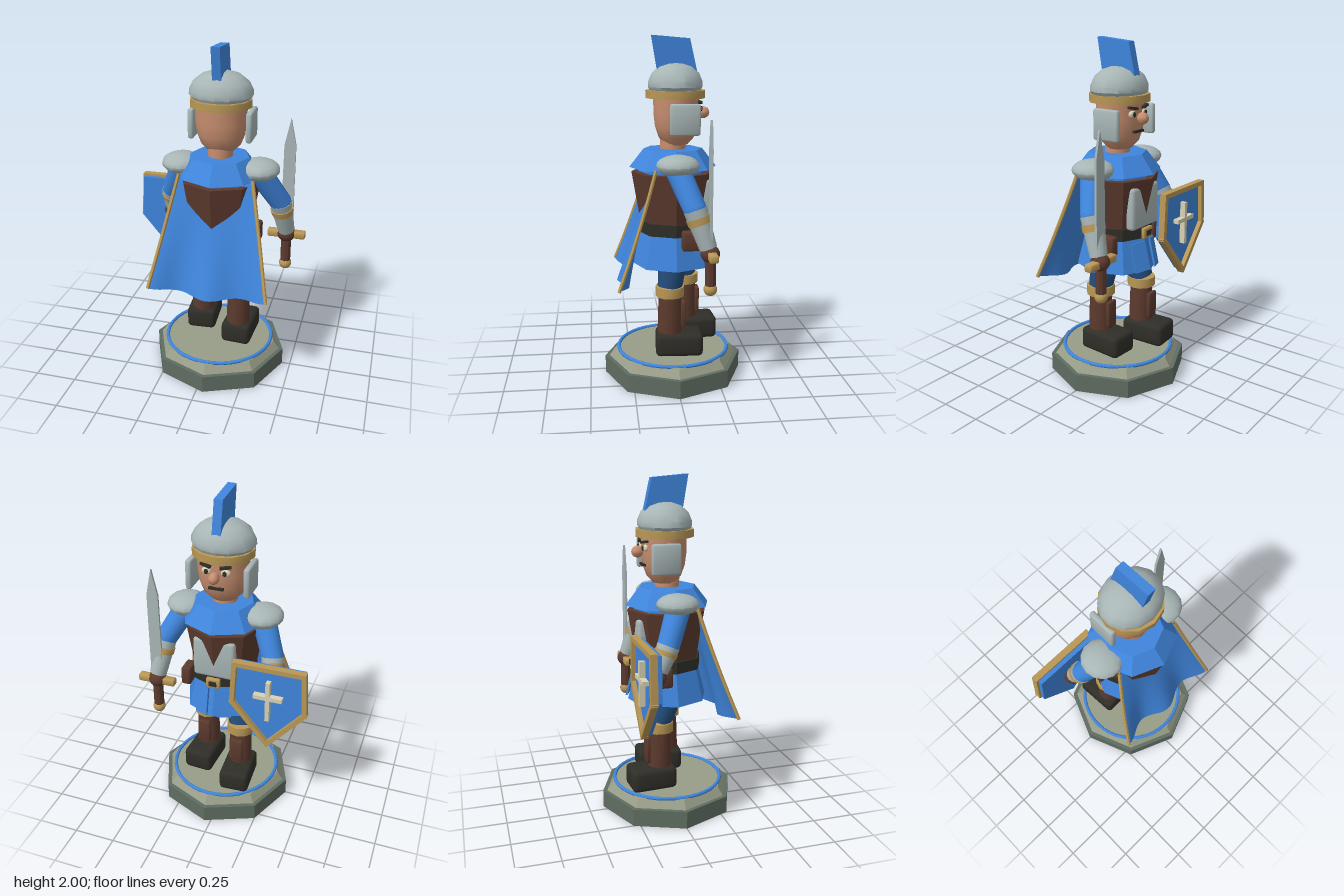
import * as THREE from 'three';
import { toCreasedNormals } from 'three/addons/utils/BufferGeometryUtils.js';
import { RoundedBoxGeometry } from 'three/addons/geometries/RoundedBoxGeometry.js';

function material(name, color) {
  const m = new THREE.MeshStandardMaterial({ color, side: THREE.DoubleSide });
  m.name = name;
  return m;
}

export function createModel() {
  const blue = material('blue', 0x3f85dc), navy = material('navy', 0x244c7a);
  const silver = material('silver', 0xa9b6b6), brown = material('brown', 0x5c3a2e);
  const gold = material('gold', 0xba9856), skin = material('skin', 0xc88f70);
  const stone = material('stone', 0x5f6d62), paleStone = material('pale stone', 0x989d88);
  const black = material('black', 0x2f2e28), cream = material('cream', 0xd8d2b4);

  const root = new THREE.Group();
  root.name = 'knightFigure';
  root.position.x = 0.04; // the held shield reaches further out than the sword

  const V = (x, y, z) => new THREE.Vector3(x, y, z);
  const add = (name, geo, mat, x = 0, y = 0, z = 0) => {
    const mesh = new THREE.Mesh(toCreasedNormals(geo, 0.62), mat);
    mesh.name = name;
    mesh.position.set(x, y, z);
    root.add(mesh);
    return mesh;
  };
  const box = (name, mat, w, h, d, x, y, z) => add(name, new THREE.BoxGeometry(w, h, d), mat, x, y, z);
  const soft = (name, mat, w, h, d, r, x, y, z) => add(name, new RoundedBoxGeometry(w, h, d, 2, r), mat, x, y, z);
  const ball = (name, mat, rx, ry, rz, x, y, z) =>
    add(name, new THREE.SphereGeometry(1, 14, 10).scale(rx, ry, rz), mat, x, y, z);
  // Upright cylinder given by its bottom and top heights
  const drum = (name, mat, rBottom, rTop, y0, y1, sides, x = 0, z = 0, open = false) =>
    add(name, new THREE.CylinderGeometry(rTop, rBottom, y1 - y0, sides, 1, open), mat, x, (y0 + y1) / 2, z);
  // Cylinder running from point a to point b
  const limb = (name, mat, a, b, ra, rb, sides = 14) => {
    const dir = b.clone().sub(a);
    const m = add(name, new THREE.CylinderGeometry(rb, ra, dir.length(), sides), mat);
    m.position.copy(a).lerp(b, 0.5);
    m.quaternion.setFromUnitVectors(V(0, 1, 0), dir.normalize());
    return m;
  };

  // Plinth
  drum('plinthBase', stone, 0.41, 0.41, 0, 0.105, 8);
  drum('plinthTop', paleStone, 0.385, 0.35, 0.105, 0.155, 8);
  add('plinthRing', new THREE.TorusGeometry(0.328, 0.011, 8, 40).rotateX(Math.PI / 2), blue, 0, 0.158, 0);

  // Legs, one step apart
  for (const [side, s, z] of [['left', 1, 0.03], ['right', -1, -0.085]]) {
    const x = s * 0.127;
    soft(side + 'Shoe', black, 0.18, 0.135, 0.275, 0.028, s * 0.132, 0.235, z - 0.053).rotation.y = -s * 0.06;
    drum(side + 'Boot', brown, 0.074, 0.066, 0.28, 0.53, 12, x, z);
    drum(side + 'BootCuff', gold, 0.084, 0.084, 0.52, 0.577, 12, x, z);
    soft(side + 'ShinGuard', brown, 0.075, 0.16, 0.025, 0.008, x, 0.405, z - 0.076);
    limb(side + 'Thigh', navy, V(x, 0.57, z), V(s * 0.1, 0.8, 0), 0.072, 0.09);
  }

  // Torso and skirt, all eight-sided
  drum('skirt', blue, 0.24, 0.19, 0.69, 0.89, 8, 0, 0, true);
  drum('belt', black, 0.205, 0.205, 0.88, 0.95, 8);
  drum('torso', brown, 0.19, 0.24, 0.94, 1.235, 8);
  drum('collar', blue, 0.252, 0.17, 1.26, 1.365, 8);
  drum('collarUnderside', blue, 0.2, 0.2, 1.23, 1.262, 8);
  soft('chestPlate', silver, 0.25, 0.25, 0.06, 0.02, 0, 1.07, -0.175);
  soft('buckle', gold, 0.085, 0.065, 0.025, 0.008, 0, 0.915, -0.21);
  box('buckleCentre', black, 0.045, 0.03, 0.008, 0, 0.915, -0.225);
  for (const s of [1, -1]) soft('pouch', brown, 0.06, 0.115, 0.11, 0.015, s * 0.205, 0.865, -0.085);
  for (const s of [1, -1]) {
    const tab = box('skirtPanel', blue, 0.085, 0.17, 0.012, s * 0.07, 0.78, -0.21);
    tab.rotation.set(0.24, s * -0.39, 0);
  }

  // Cape: a sheet that widens and ripples towards the hem
  const capePoint = (u, t) => V(
    u * (0.215 + 0.135 * t),
    1.27 - t * (0.685 - 0.035 * u * u),
    0.115 + 0.185 * t + 0.032 * t * t * Math.cos(2 * Math.PI * u));
  const sheet = new THREE.PlaneGeometry(2, 1, 32, 12);
  const pos = sheet.attributes.position;
  for (let i = 0; i < pos.count; i++) {
    const p = capePoint(pos.getX(i), 0.5 - pos.getY(i));
    pos.setXYZ(i, p.x, p.y, p.z);
  }
  add('cape', sheet, blue);
  for (const u of [-1, 1]) {
    const path = new THREE.CatmullRomCurve3([0, 0.25, 0.5, 0.75, 1].map(t => capePoint(u, t)));
    add('capeTrim', new THREE.TubeGeometry(path, 12, 0.011, 6), gold);
  }

  // Arms
  const arms = [
    ['sword', V(0.23, 1.28, 0), V(0.345, 1.075, -0.085), V(0.375, 0.865, -0.155), V(0.375, 0.835, -0.165)],
    ['shield', V(-0.23, 1.28, 0), V(-0.315, 1.085, -0.085), V(-0.335, 0.95, -0.145), V(-0.34, 0.915, -0.16)]];
  for (const [name, shoulder, elbow, wrist, hand] of arms) {
    ball(name + 'Pauldron', silver, 0.118, 0.06, 0.122, shoulder.x, 1.298, -0.005);
    limb(name + 'UpperArm', blue, shoulder, elbow, 0.07, 0.064);
    ball(name + 'Elbow', blue, 0.064, 0.064, 0.064, elbow.x, elbow.y, elbow.z);
    limb(name + 'Forearm', silver, elbow, wrist, 0.066, 0.05);
    limb(name + 'ArmBand', gold, elbow.clone().lerp(wrist, 0.2), elbow.clone().lerp(wrist, 0.38), 0.068, 0.066);
    ball(name + 'Glove', brown, 0.056, 0.05, 0.054, hand.x, hand.y, hand.z);
  }

  // Sword: bevelled blade, guard, grip and pommel
  const bladeShape = new THREE.Shape([[-0.037, 0.85], [0.037, 0.85], [0.034, 1.4], [0, 1.56], [-0.034, 1.4]]
    .map(p => new THREE.Vector2(...p)));
  add('swordBlade', new THREE.ExtrudeGeometry(bladeShape, { depth: 0.014, bevelEnabled: false }), silver, 0.375, 0, -0.172);
  soft('swordGuard', gold, 0.23, 0.045, 0.05, 0.01, 0.375, 0.832, -0.17);
  drum('swordGrip', brown, 0.031, 0.031, 0.65, 0.82, 10, 0.375, -0.168);
  ball('swordPommel', gold, 0.038, 0.038, 0.038, 0.375, 0.632, -0.168);

  // Shield: pentagon with a raised rim and a cross on its front
  const outline = [[-0.2, 1.1], [0.2, 1.1], [0.215, 0.84], [0, 0.582], [-0.215, 0.84]];
  const shieldX = -0.34;
  add('shieldBoard', new THREE.ExtrudeGeometry(
    new THREE.Shape(outline.map(p => new THREE.Vector2(...p))), { depth: 0.04, bevelEnabled: false }),
  blue, shieldX, 0, -0.228);
  outline.forEach(([x, y], i) => {
    const [x2, y2] = outline[(i + 1) % outline.length];
    const bar = box('shieldRim', gold, Math.hypot(x2 - x, y2 - y) + 0.025, 0.028, 0.04,
      shieldX + (x + x2) / 2, (y + y2) / 2, -0.235);
    bar.rotation.z = Math.atan2(y2 - y, x2 - x);
  });
  box('shieldCrossUpright', cream, 0.025, 0.26, 0.034, shieldX, 0.89, -0.245);
  box('shieldCrossBar', cream, 0.17, 0.025, 0.036, shieldX, 0.915, -0.245);

  // Head and face
  drum('neck', skin, 0.073, 0.073, 1.34, 1.43, 14, 0, 0);
  const headProfile = [[0, 1.385], [0.075, 1.39], [0.115, 1.43], [0.138, 1.49], [0.148, 1.56], [0.15, 1.68], [0, 1.7]]
    .map(p => new THREE.Vector2(...p));
  add('head', new THREE.LatheGeometry(headProfile, 20).scale(1, 1, 0.88), skin, 0, 0, -0.02);
  ball('nose', skin, 0.03, 0.034, 0.036, 0, 1.57, -0.175);
  for (const s of [1, -1]) {
    ball('eye', cream, 0.028, 0.02, 0.016, s * 0.055, 1.595, -0.142);
    ball('pupil', black, 0.012, 0.015, 0.008, s * 0.053, 1.595, -0.156);
    const brow = box('eyebrow', black, 0.062, 0.014, 0.02, s * 0.057, 1.63, -0.15);
    brow.rotation.set(0, s * -0.25, s * 0.15);
    soft('cheekGuard', silver, 0.036, 0.175, 0.17, 0.014, s * 0.168, 1.542, -0.052);
  }
  box('mouth', black, 0.085, 0.014, 0.03, 0, 1.495, -0.138);

  // Helmet with band and crest
  add('helmetBand', new THREE.CylinderGeometry(0.178, 0.178, 0.045, 12).scale(1, 1, 0.96), gold, 0, 1.675, -0.015);
  const dome = [[0.168, 1.695], [0.182, 1.715], [0.18, 1.745], [0.158, 1.79], [0.11, 1.827], [0.05, 1.844], [0, 1.847]]
    .map(p => new THREE.Vector2(...p));
  add('helmetDome', new THREE.LatheGeometry(dome, 14).scale(1, 1, 0.86), silver, 0, 0, -0.015);
  const crest = new THREE.Shape([[0.08, 1.76], [0.12, 2.0], [-0.095, 1.982], [-0.145, 1.76]]
    .map(([z, y]) => new THREE.Vector2(-z, y)));
  add('helmetCrest', new THREE.ExtrudeGeometry(crest, { depth: 0.05, bevelEnabled: false }).rotateY(Math.PI / 2),
    blue, -0.025, 0, 0);

  const model = new THREE.Group();
  model.name = 'model';
  model.add(root);
  return model;
}
